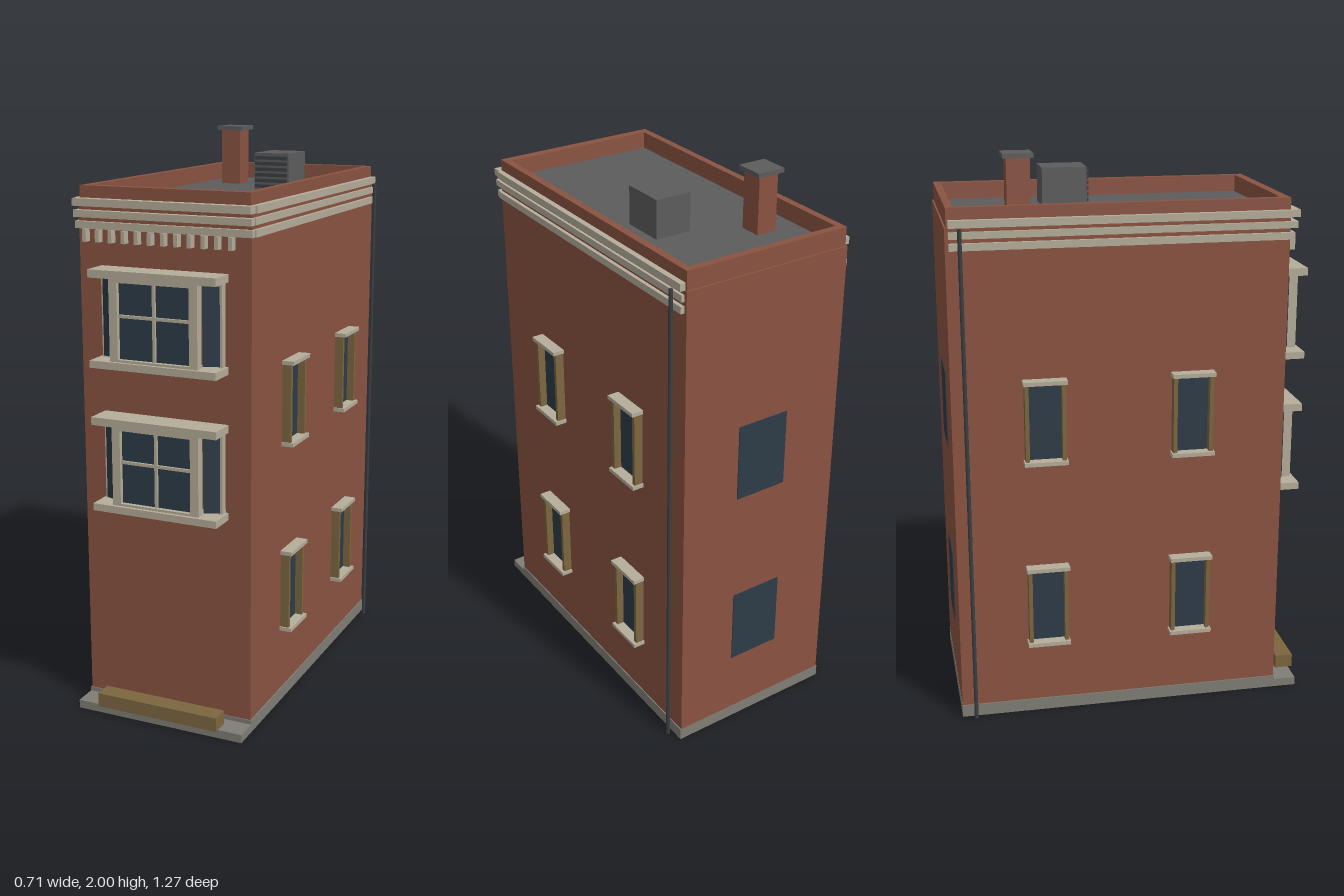
import * as THREE from 'three';

const mat = (name, color) => {
  const m = new THREE.MeshStandardMaterial({ color });
  m.name = name;
  return m;
};

export function createModel() {
  const brick = mat('brick', 0x8a5341);
  const stone = mat('cream stone', 0xb5ad9a);
  const glass = mat('dark glass', 0x2d3b47);
  const wood = mat('brown wood', 0x7c663f);
  const roofGrey = mat('roof grey', 0x5c5c5c);
  const paving = mat('paving grey', 0x7f7d75);
  const iron = mat('dark iron', 0x3b3f42);

  const model = new THREE.Group();
  model.name = 'townhouse';

  // Box given by its minimum and maximum on each axis
  const box = (parent, name, material, [x0, x1], [y0, y1], [z0, z1]) => {
    const mesh = new THREE.Mesh(new THREE.BoxGeometry(Math.abs(x1 - x0), y1 - y0, z1 - z0), material);
    mesh.position.set((x0 + x1) / 2, (y0 + y1) / 2, (z0 + z1) / 2);
    mesh.name = name;
    parent.add(mesh);
    return mesh;
  };
  const group = (name, y = 0) => {
    const g = new THREE.Group();
    g.name = name;
    g.position.y = y;
    model.add(g);
    return g;
  };

  // Base, walls and front step
  box(model, 'plinth', paving, [-0.316, 0.316], [0, 0.045], [-0.635, 0.538]);
  box(model, 'frontPaving', paving, [-0.316, 0.316], [0, 0.03], [0.538, 0.62]);
  box(model, 'walls', brick, [-0.312, 0.312], [0.045, 1.78], [-0.634, 0.535]);
  box(model, 'frontStep', wood, [-0.23, 0.228], [0.03, 0.08], [0.57, 0.635]);

  // Flat roof inside a brick parapet
  box(model, 'roof', roofGrey, [-0.282, 0.282], [1.775, 1.785], [-0.602, 0.503]);
  const parapet = group('parapet');
  for (const s of [-1, 1]) box(parapet, 'parapetSide', brick, [s * 0.282, s * 0.308], [1.78, 1.845], [-0.628, 0.535]);
  box(parapet, 'parapetFront', brick, [-0.282, 0.282], [1.78, 1.845], [0.503, 0.535]);
  box(parapet, 'parapetBack', brick, [-0.282, 0.282], [1.78, 1.845], [-0.628, -0.602]);

  // Cornice bands on the front and both sides, with dentils below
  const cornice = group('cornice');
  const bands = [[1.78, 1.805, 0.567, 0.328], [1.743, 1.766, 0.56, 0.322], [1.705, 1.729, 0.55, 0.325]];
  for (const [y0, y1, z, x] of bands) {
    box(cornice, 'frontBand', stone, [-0.32, 0.32], [y0, y1], [0.53, z]);
    for (const s of [-1, 1]) box(cornice, 'sideBand', stone, [s * 0.3, s * x], [y0, y1], [-0.622, 0.53]);
  }
  for (let i = 0; i < 12; i++) {
    const x = -0.28 + i * 0.048;
    box(cornice, 'dentil', stone, [x - 0.007, x + 0.007], [1.663, 1.705], [0.53, 0.562]);
  }

  // Front bay windows, one per upper storey
  for (const y of [0.76, 1.257]) {
    const bay = group('bayWindow', y);
    box(bay, 'sill', stone, [-0.23, 0.23], [0, 0.025], [0.53, 0.632]);
    box(bay, 'hood', stone, [-0.23, 0.23], [0.301, 0.328], [0.53, 0.632]);
    box(bay, 'bottomRail', stone, [-0.15, 0.15], [0.012, 0.033], [0.592, 0.62]);
    box(bay, 'topRail', stone, [-0.15, 0.15], [0.288, 0.301], [0.592, 0.62]);
    box(bay, 'middlePane', glass, [-0.135, 0.135], [0.025, 0.301], [0.596, 0.604]);
    box(bay, 'verticalBar', stone, [-0.005, 0.005], [0.025, 0.301], [0.6, 0.613]);
    box(bay, 'horizontalBar', stone, [-0.135, 0.135], [0.172, 0.182], [0.6, 0.613]);
    for (const s of [-1, 1]) {
      box(bay, 'frontPost', stone, [s * 0.13, s * 0.16], [0.025, 0.301], [0.588, 0.62]);
      box(bay, 'wallPost', stone, [s * 0.205, s * 0.22], [0.025, 0.301], [0.53, 0.56]);
      const pane = box(bay, 'anglePane', glass, [s * 0.158, s * 0.214], [0.03, 0.29], [0.568, 0.576]);
      pane.rotation.y = s * 0.44;
    }
  }

  // Side windows, two per storey on each side
  for (const s of [-1, 1]) for (const z of [0.2, -0.317]) for (const y of [0.273, 0.957]) {
    const win = group('sideWindow', y);
    box(win, 'pane', glass, [s * 0.312, s * 0.317], [0.01, 0.29], [z - 0.065, z + 0.065]);
    for (const e of [-1, 1]) {
      const c = z + e * 0.064;
      box(win, 'jamb', wood, [s * 0.305, s * 0.344], [0.013, 0.288], [c - 0.007, c + 0.007]);
    }
    box(win, 'sill', stone, [s * 0.305, s * 0.355], [0, 0.014], [z - 0.076, z + 0.076]);
    box(win, 'lintel', stone, [s * 0.305, s * 0.355], [0.287, 0.301], [z - 0.076, z + 0.076]);
  }

  // Plain windows in the back wall
  for (const y of [0.273, 0.957]) {
    box(model, 'backWindow', glass, [-0.097, 0.097], [y + 0.005, y + 0.285], [-0.637, -0.633]);
  }

  // Downpipes at the back corners
  for (const s of [-1, 1]) {
    const pipe = new THREE.Mesh(new THREE.CylinderGeometry(0.007, 0.007, 1.775, 8), iron);
    pipe.position.set(s * 0.338, 0.8925, -0.587);
    pipe.name = 'downpipe';
    model.add(pipe);
  }

  // Chimney with a flat cap
  box(model, 'chimney', brick, [-0.192, -0.118], [1.78, 1.985], [-0.415, -0.335]);
  box(model, 'chimneyCap', roofGrey, [-0.206, -0.104], [1.985, 2], [-0.428, -0.324]);

  // Rooftop unit with a slatted front
  box(model, 'roofUnit', roofGrey, [0.042, 0.174], [1.78, 1.92], [-0.264, -0.105]);
  for (let i = 0; i < 6; i++) {
    const y = 1.797 + i * 0.02;
    box(model, 'ventSlat', iron, [0.047, 0.169], [y, y + 0.012], [-0.106, -0.098]);
  }
  return model;
}
